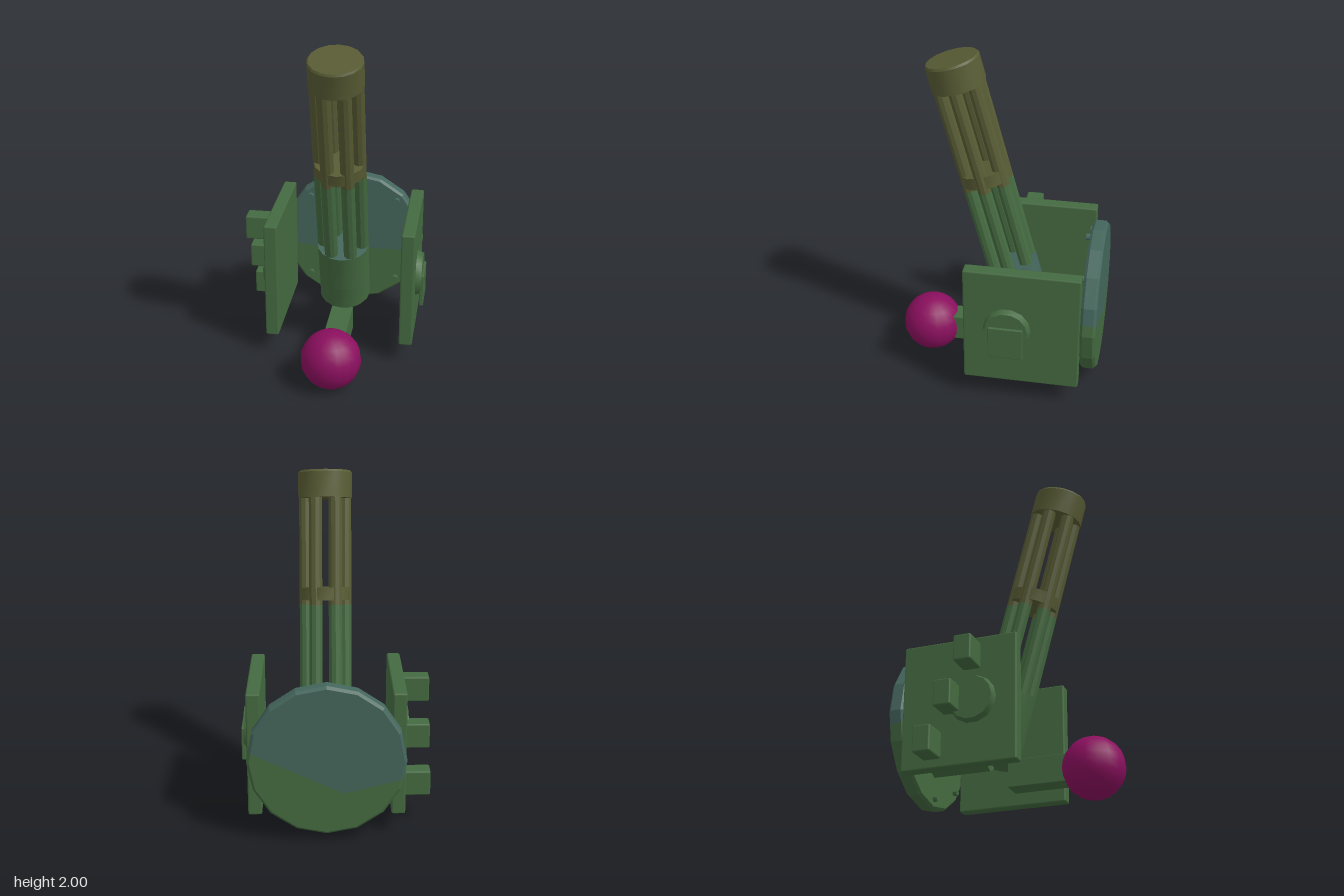
import * as THREE from 'three';
import { RoundedBoxGeometry } from 'three/addons/geometries/RoundedBoxGeometry.js';
import { toCreasedNormals } from 'three/addons/utils/BufferGeometryUtils.js';

const material = (name, color) => {
  const m = new THREE.MeshStandardMaterial({ color });
  m.name = name;
  return m;
};

export function createModel() {
  const green = material('green', 0x446a40);
  const teal = material('teal', 0x44665c);
  const olive = material('olive', 0x575b33);
  const magenta = material('magenta', 0x8a0f5e);
  const model = new THREE.Group();
  model.name = 'mountedGun';

  const add = (parent, name, geometry, mat, x = 0, y = 0, z = 0) => {
    const mesh = new THREE.Mesh(geometry, mat);
    mesh.name = name;
    mesh.position.set(x, y, z);
    parent.add(mesh);
    return mesh;
  };
  // Box given by its lower and upper corners, with softened edges
  const box = (name, mat, a, b, bevel = 0.01) => add(model, name,
    new RoundedBoxGeometry(b[0] - a[0], b[1] - a[1], b[2] - a[2], 1, bevel), mat,
    (a[0] + b[0]) / 2, (a[1] + b[1]) / 2, (a[2] + b[2]) / 2);
  const cylinder = (rTop, rBottom, h, sides, ...rest) =>
    toCreasedNormals(new THREE.CylinderGeometry(rTop, rBottom, h, sides, 1, ...rest), 0.6);

  // Side plates
  box('rightPlate', green, [-0.4, 0.13, -0.53], [-0.32, 0.87, 0.147]);
  box('leftPlate', green, [0.42, 0.13, -0.53], [0.5, 0.87, 0.147]);

  // Three blocks stepping up the right plate
  for (let i = 0; i < 3; i++) {
    const y = 0.177 + i * 0.249, z = -0.392 + i * 0.113;
    box('sideBlock', green, [-0.555, y, z], [-0.398, y + 0.152, z + 0.104]);
  }

  // Round hubs on both plates, and a cover on the left one
  for (const [name, x, turn] of [['rightHub', -0.417, 1], ['leftHub', 0.517, -1]]) {
    const hub = add(model, name, cylinder(0.125, 0.14, 0.038, 14), green, x, 0.5, -0.11);
    hub.rotation.z = turn * Math.PI / 2;
  }
  box('hubCover', green, [0.525, 0.325, -0.21], [0.55, 0.53, -0.005], 0.006);

  // Back disc: sixteen sides, split into teal above and green below
  const R = 0.45, step = Math.PI / 8;
  const rim = (a) => {
    const local = ((a % step) + step) % step;
    const r = R * Math.cos(step / 2) / Math.cos(local - step / 2);
    return new THREE.Vector2(r * Math.cos(a), r * Math.sin(a));
  };
  const arc = (a0, a1) => {
    const pts = [rim(a0)];
    for (let k = Math.ceil(a0 / step + 1e-6); k * step < a1 - 1e-6; k++) pts.push(rim(k * step));
    return [...pts, rim(a1)];
  };
  const discLayer = (z0, z1, s0, s1, startDeg, endDeg, cut) => {
    const a0 = THREE.MathUtils.degToRad(startDeg), a1 = THREE.MathUtils.degToRad(endDeg);
    const inner = cut.map(([x, y]) => new THREE.Vector2(x, y));
    const halves = [
      ['discUpper', teal, [...arc(a0, a1), ...inner]],
      ['discLower', green, [...arc(a1, a0 + 2 * Math.PI), ...inner.slice().reverse()]],
    ];
    for (const [name, mat, pts] of halves) {
      const g = new THREE.ExtrudeGeometry(new THREE.Shape(pts),
        { depth: z1 - z0, bevelEnabled: false }).toNonIndexed();
      const p = g.attributes.position;
      for (let i = 0; i < p.count; i++) {
        const s = p.getZ(i) > (z1 - z0) / 2 ? s1 : s0;
        p.setXY(i, p.getX(i) * s, p.getY(i) * s);
      }
      g.computeVertexNormals();
      add(model, name, g, mat, 0.05, 0.5, z0);
    }
  };
  const frontCut = [[-0.3, -0.08], [0.35, -0.07]];
  const backCut = [[-0.1, -0.2], [0.17, -0.07]];
  discLayer(-0.62, -0.605, 0.965, 1, 7, 195, backCut);
  discLayer(-0.605, -0.545, 1, 1, 9, 190, frontCut);
  discLayer(-0.545, -0.53, 1, 0.97, 9, 188, frontCut);

  // Bolts around the disc
  for (let i = 0; i < 8; i++) {
    const a = i * Math.PI / 4;
    const bolt = add(model, 'bolt', cylinder(0.02, 0.02, 0.035, 8), Math.sin(a) > 0.1 ? teal : green,
      0.05 + 0.393 * Math.cos(a), 0.503 + 0.393 * Math.sin(a), -0.522);
    bolt.rotation.x = Math.PI / 2;
  }

  // Strut from the disc to the gun housing
  const strut = add(model, 'strut', cylinder(0.065, 0.065, 0.36, 8), green, 0.05, 0.3, -0.36);
  strut.rotation.x = Math.PI / 2;

  // Handle and its ball
  box('handle', green, [-0.015, 0.105, -0.05], [0.115, 0.265, 0.4], 0.004);
  add(model, 'ball', new THREE.SphereGeometry(0.179, 16, 12), magenta, 0.05, 0.181, 0.438);

  // Tilted gun: local y runs down the barrel from the tip at zero
  const gun = new THREE.Group();
  gun.name = 'gun';
  gun.position.set(0.05, 1.96, 0.28);
  gun.rotation.x = THREE.MathUtils.degToRad(15);
  model.add(gun);
  const section = (name, mat, r0, r1, top, bottom, sides, x = 0, z = 0) =>
    add(gun, name, cylinder(r0, r1, bottom - top, sides), mat, x, -(top + bottom) / 2, z);

  section('muzzleCapEdge', olive, 0.15, 0.158, 0, 0.012, 16);
  section('muzzleCap', olive, 0.158, 0.158, 0.012, 0.16, 16);
  section('barrelClamp', olive, 0.15, 0.15, 0.682, 0.757, 12);
  for (let i = 0; i < 6; i++) {
    const a = i * Math.PI / 3, x = 0.115 * Math.cos(a), z = 0.115 * Math.sin(a);
    section('upperBarrel', olive, 0.04, 0.04, 0.15, 0.785, 10, x, z);
    section('lowerBarrel', green, 0.04, 0.04, 0.785, 1.34, 10, x, z);
  }

  // Housing: green body with a teal upper back and top
  section('housingLower', green, 0.156, 0.156, 1.56, 1.71, 16);
  section('housingBase', green, 0.156, 0.13, 1.71, 1.745, 16);
  add(gun, 'housingFront', cylinder(0.156, 0.156, 0.245, 8, true, -Math.PI / 2, Math.PI), green, 0, -1.4375, 0);
  add(gun, 'housingBack', cylinder(0.156, 0.156, 0.245, 8, true, Math.PI / 2, Math.PI), teal, 0, -1.4375, 0);
  const top = add(gun, 'housingTop', new THREE.CircleGeometry(0.156, 16), teal, 0, -1.315, 0);
  top.rotation.x = -Math.PI / 2;

  return model;
}
